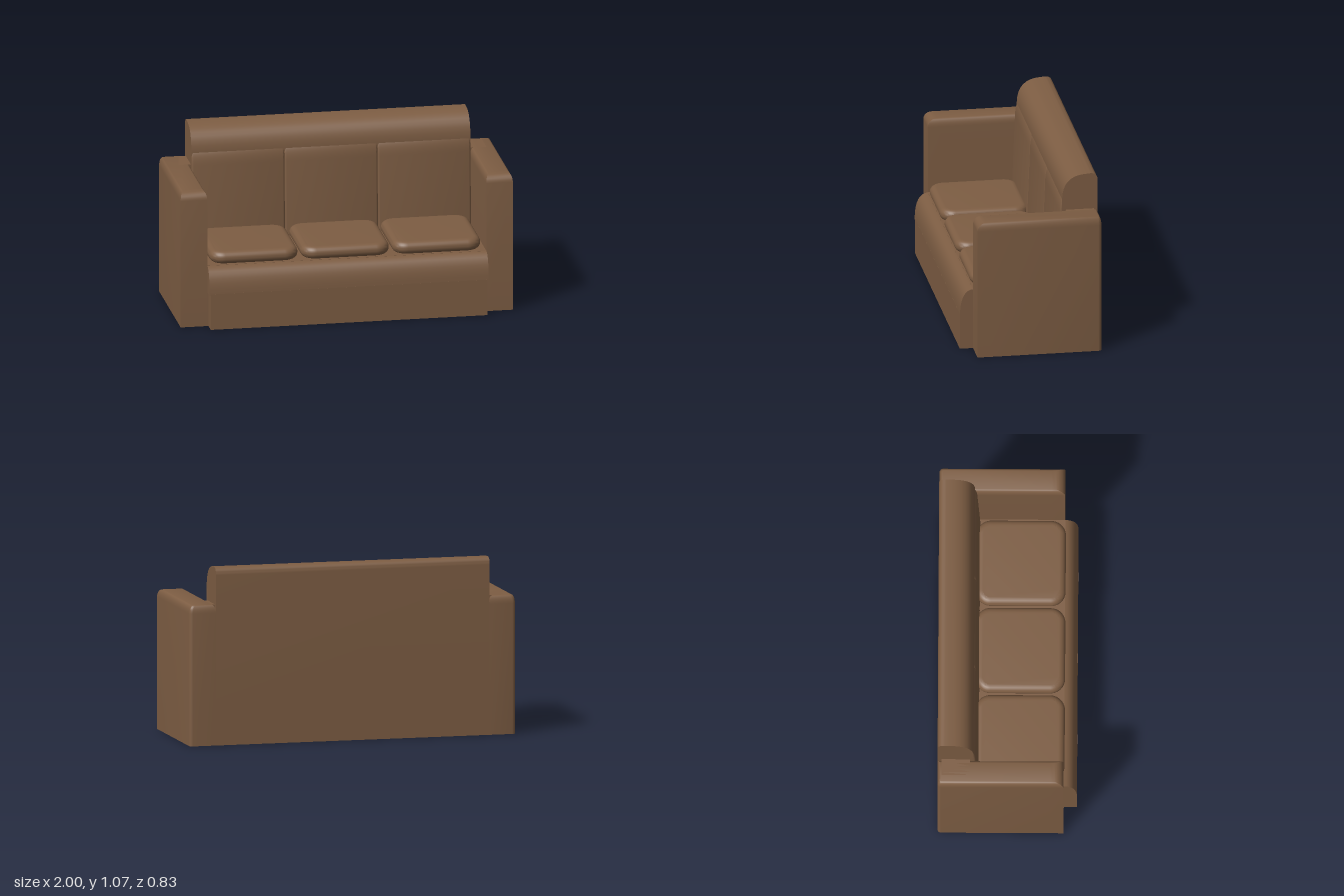
import * as THREE from 'three';
import { toCreasedNormals } from 'three/addons/utils/BufferGeometryUtils.js';

const leather = new THREE.MeshStandardMaterial({ color: 0x7d5d43 });
leather.name = 'brown leather';

function add(group, name, geometry, x = 0, y = 0, z = 0) {
  const mesh = new THREE.Mesh(toCreasedNormals(geometry, 0.65), leather);
  mesh.name = name;
  mesh.position.set(x, y, z);
  group.add(mesh);
  return mesh;
}

// Extrudes a side profile across the sofa; the shape's x axis is -z
function across(shape, width, bevel = 0) {
  const g = new THREE.ExtrudeGeometry(shape, {
    depth: width - 2 * bevel, curveSegments: 8, bevelEnabled: bevel > 0,
    bevelThickness: bevel, bevelSize: bevel, bevelOffset: -bevel, bevelSegments: 3,
  });
  return g.translate(0, 0, -width / 2 + bevel).rotateY(Math.PI / 2);
}

// Arm block with rounded top edges and a softened outer back corner
function armGeometry(side, height) {
  const rows = 8, cols = 6, depth = 0.747, width = 0.16;
  const g = new THREE.BoxGeometry(width, 1, depth, 1, rows, cols);
  const p = g.attributes.position;
  for (let i = 0; i < p.count; i++) {
    const row = Math.round((p.getY(i) + 0.5) * rows);
    const col = Math.round((p.getZ(i) / depth + 0.5) * cols);
    const a = row < 2 ? 0 : ((row - 2) / (rows - 2)) * Math.PI / 2;
    const inset = 1 - Math.cos(a);
    const y = row === 0 ? 0 : height - 0.05 * (1 - Math.sin(a));
    const b = col > 4 ? 0 : (1 - col / 4) * Math.PI / 2;
    const zBack = -depth / 2 + 0.02 * (1 - Math.sin(b));
    let z = col > 4 ? depth / 2 - inset * 0.055 : zBack + inset * 0.018 * Math.sin(b);
    if (col === 5) z = depth / 2 - 0.08;
    const outer = p.getX(i) * side > 0;
    const x = width / 2 - inset * 0.022 - (outer ? 0.02 * (1 - Math.cos(b)) : 0);
    p.setXYZ(i, Math.sign(p.getX(i)) * x, y, z);
  }
  return g;
}

// Soft cushion with rounded corners, lying flat
function seatCushionGeometry(w, d, h, r) {
  const b = h / 2, x = w / 2 - b, y = d / 2 - b;
  const s = new THREE.Shape();
  s.absarc(x - r, y - r, r, 0, Math.PI / 2);
  s.absarc(-x + r, y - r, r, Math.PI / 2, Math.PI);
  s.absarc(-x + r, -y + r, r, Math.PI, Math.PI * 1.5);
  s.absarc(x - r, -y + r, r, Math.PI * 1.5, Math.PI * 2);
  s.closePath();
  const g = new THREE.ExtrudeGeometry(s, {
    depth: 0.004, curveSegments: 6, bevelThickness: b - 0.002, bevelSize: b, bevelSegments: 6,
  });
  return g.translate(0, 0, -0.002).rotateX(-Math.PI / 2);
}

export function createModel() {
  const sofa = new THREE.Group();
  sofa.name = 'sofa';

  // Seat base and front apron
  add(sofa, 'seatBase', new THREE.BoxGeometry(1.68, 0.375, 0.6), 0, 0.1875, 0.035);
  add(sofa, 'frontApron', new THREE.BoxGeometry(1.666, 0.22, 0.08), 0, 0.11, 0.373);
  const roll = new THREE.Shape();
  roll.moveTo(-0.33, 0.21);
  roll.lineTo(-0.33, 0.375);
  roll.bezierCurveTo(-0.385, 0.372, -0.413, 0.32, -0.413, 0.21);
  roll.closePath();
  add(sofa, 'frontRoll', across(roll, 1.68));

  // Backrest with a rolled top
  const back = new THREE.Shape();
  back.moveTo(0.2, 0);
  back.lineTo(0.413, 0);
  back.lineTo(0.413, 1.02);
  back.bezierCurveTo(0.413, 1.05, 0.4, 1.065, 0.37, 1.065);
  back.lineTo(0.345, 1.063);
  back.bezierCurveTo(0.25, 1.06, 0.203, 1.01, 0.2, 0.915);
  back.closePath();
  add(sofa, 'backrest', across(back, 1.68));

  // Three back pads and three seat cushions
  const pad = new THREE.Shape();
  pad.moveTo(0.24, 0.34);
  pad.lineTo(0.24, 0.93);
  pad.lineTo(0.205, 0.92);
  pad.quadraticCurveTo(0.189, 0.89, 0.187, 0.83);
  pad.lineTo(0.168, 0.34);
  pad.closePath();
  for (const i of [-1, 0, 1]) {
    add(sofa, 'backPad', across(pad, 0.56, 0.012), i * 0.56);
    add(sofa, 'seatCushion', seatCushionGeometry(0.532, 0.53, 0.076, 0.05), i * 0.55, 0.413, 0.074);
  }

  // Arms, with a square shoulder where each meets the backrest
  for (const side of [-1, 1]) {
    const height = side > 0 ? 0.843 : 0.833;
    add(sofa, side > 0 ? 'leftArm' : 'rightArm', armGeometry(side, height), side * 0.92, 0, -0.0395);
    add(sofa, 'armShoulder', new THREE.BoxGeometry(0.1, 0.1, 0.17), side * 0.89, height - 0.05, -0.305);
  }
  return sofa;
}
